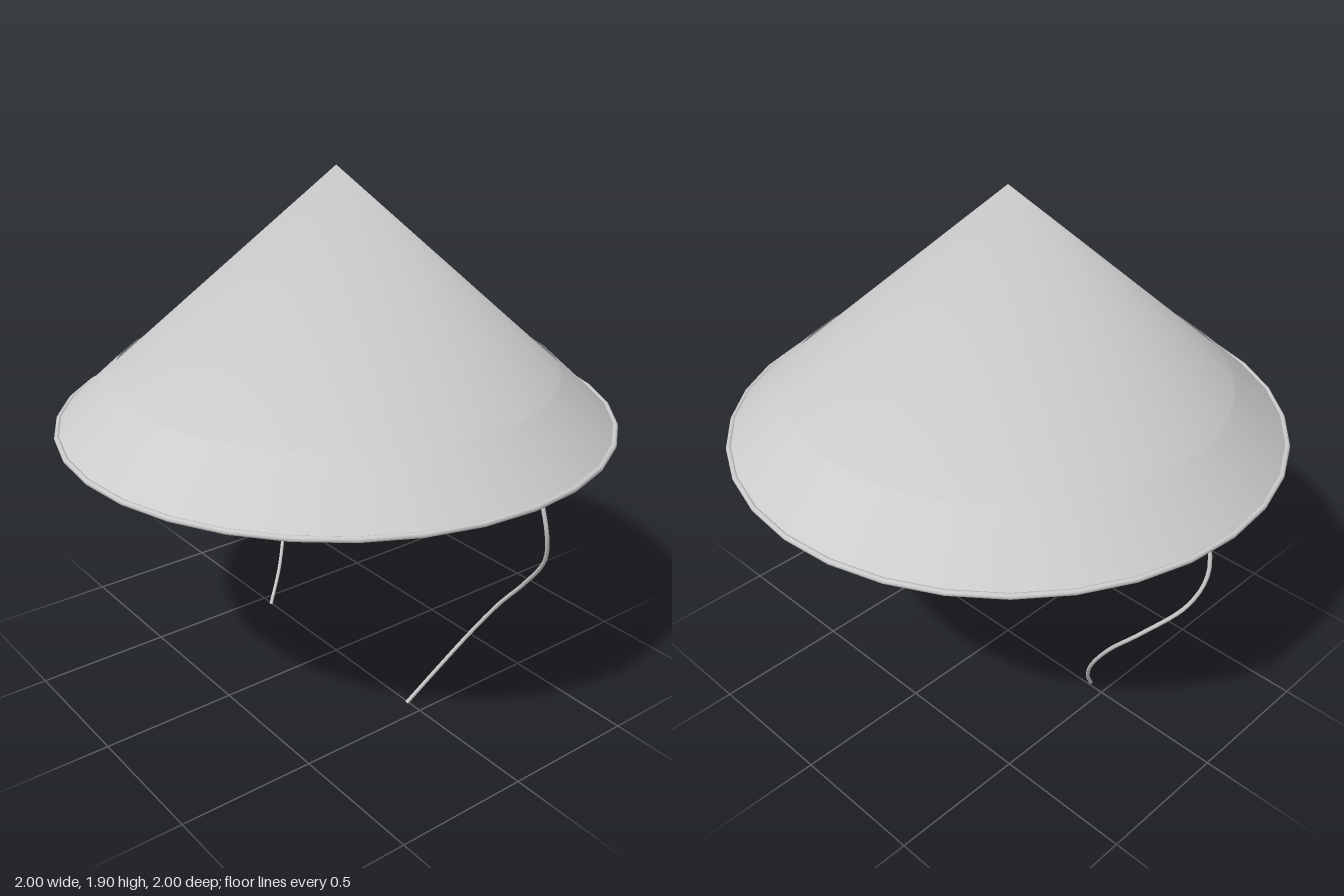
import * as THREE from 'three';

const SIDES = 32;
const BRIM_Y = 1.01;
const APEX_Y = 1.9;

export function createModel() {
  const hat = new THREE.Group();
  hat.name = 'conicalHat';
  const grey = new THREE.MeshStandardMaterial({ color: 0xcccccc, side: THREE.DoubleSide });
  grey.name = 'lightGrey';

  const add = (name, geometry, y = 0) => {
    const mesh = new THREE.Mesh(geometry, grey);
    mesh.name = name;
    mesh.position.y = y;
    hat.add(mesh);
    return mesh;
  };

  // Open cone, shaded smoothly over its tip
  const height = APEX_Y - BRIM_Y;
  const cone = new THREE.ConeGeometry(0.985, height, SIDES, 1, true);
  const { position, normal } = cone.attributes;
  for (let i = 0; i < position.count; i++) {
    if (position.getY(i) > height / 2 - 0.001) normal.setXYZ(i, 0, 1, 0);
  }
  add('crown', cone, BRIM_Y + height / 2);

  // Band lying just outside the lower part of the cone
  add('brimBand', new THREE.CylinderGeometry(0.793, 0.992, 0.185, SIDES, 1, true), 1.1025);

  // Thin rolled edge, with its corners lined up with the cone
  const rim = new THREE.TorusGeometry(0.99, 0.01, 8, SIDES);
  rim.rotateX(Math.PI / 2);
  add('rimEdge', rim, BRIM_Y + 0.002);

  // Mirrored chin cords hanging from inside the brim
  const cordPath = [
    [0.945, 1.04, -0.065], [0.97, 0.89, -0.085], [0.935, 0.77, -0.125],
    [0.8, 0.6, -0.18], [0.68, 0.46, -0.188], [0.575, 0.3, -0.155],
    [0.495, 0.14, -0.08], [0.438, 0.003, 0.008],
  ];
  for (const [name, side] of [['leftCord', 1], ['rightCord', -1]]) {
    const curve = new THREE.CatmullRomCurve3(
      cordPath.map(([x, y, z]) => new THREE.Vector3(side * x, y, z)));
    add(name, new THREE.TubeGeometry(curve, 40, 0.007, 8));
  }
  return hat;
}
